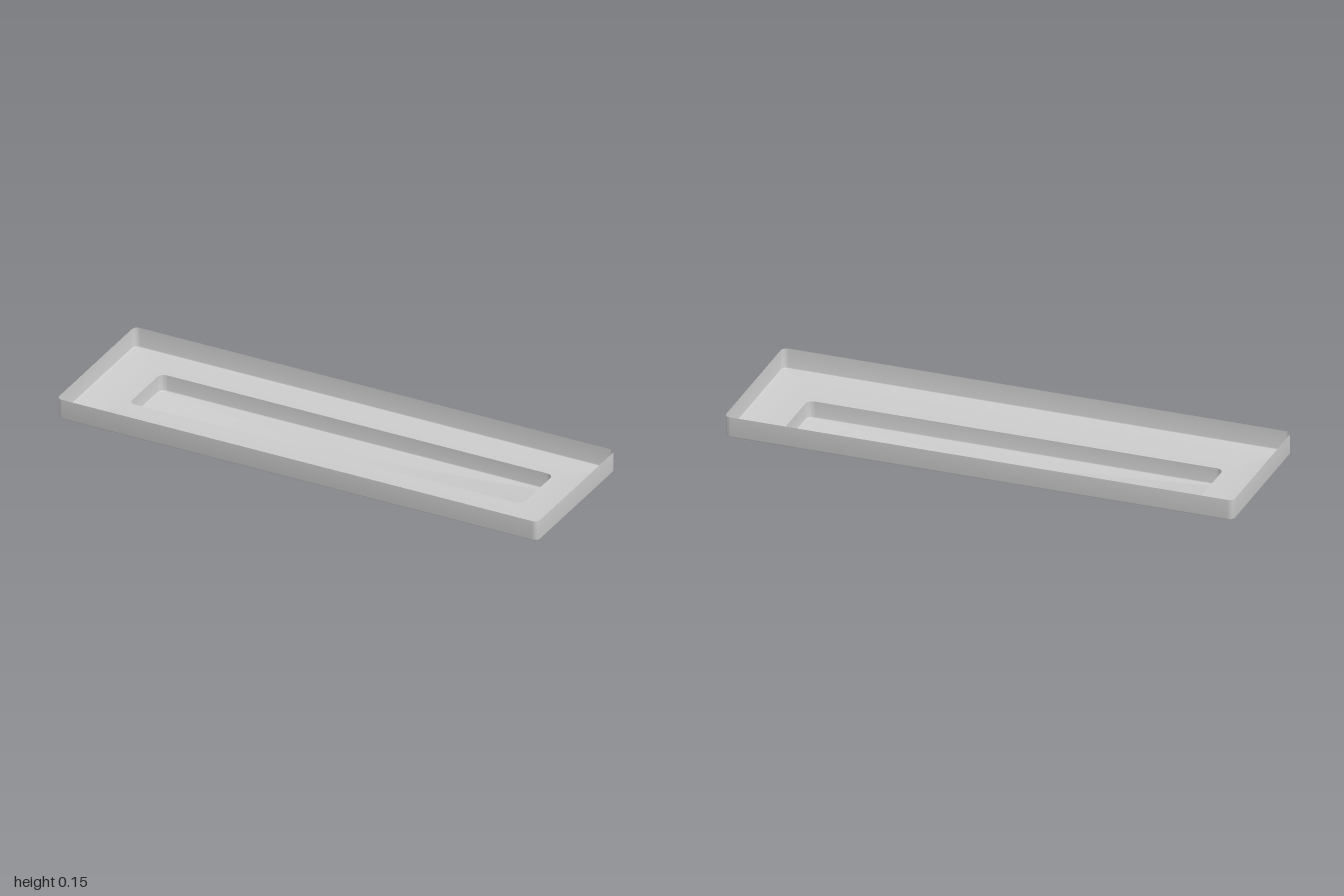
import * as THREE from 'three';
import { toCreasedNormals } from 'three/addons/utils/BufferGeometryUtils.js';

const CORNER_STEPS = 8;

// Rounded rectangle at height y, counter-clockwise seen from above
function ring({ hx, hz, r, cz = 0 }, y, inset = 0) {
  const w = hx - r, d = hz - r, radius = r - inset, points = [];
  [[1, 1], [-1, 1], [-1, -1], [1, -1]].forEach(([sx, sz], corner) => {
    for (let i = 0; i <= CORNER_STEPS; i++) {
      const a = (corner + i / CORNER_STEPS) * Math.PI / 2;
      points.push(new THREE.Vector3(sx * w + radius * Math.cos(a), y, cz - sz * d - radius * Math.sin(a)));
    }
  });
  return points;
}

// Quarter-round from a wall down onto a floor at height y
function bottomFillet(outline, y, f) {
  return [0, 1, 2, 3, 4].map(i => {
    const a = i / 4 * Math.PI / 2;
    return ring(outline, y + f * (1 - Math.sin(a)), f * (1 - Math.cos(a)));
  });
}

// Skin joining successive rings, optionally closed in the middle of the last one
function loft(name, rings, material, closed = false) {
  const positions = [], index = [], n = rings[0].length;
  rings.flat().forEach(p => positions.push(p.x, p.y, p.z));
  for (let k = 0; k < rings.length - 1; k++) {
    for (let j = 0; j < n; j++) {
      const a = k * n + j, b = k * n + (j + 1) % n;
      index.push(a, b, a + n, b, b + n, a + n);
    }
  }
  if (closed) {
    const last = rings.at(-1), start = (rings.length - 1) * n, centre = rings.length * n;
    positions.push(0, last[0].y, (last[0].z + last[n - 1].z) / 2);
    for (let j = 0; j < n; j++) index.push(start + j, start + (j + 1) % n, centre);
  }
  const geometry = new THREE.BufferGeometry();
  geometry.setAttribute('position', new THREE.Float32BufferAttribute(positions, 3));
  geometry.setIndex(index);
  const mesh = new THREE.Mesh(toCreasedNormals(geometry, Math.PI / 6), material);
  mesh.name = name;
  return mesh;
}

export function createModel() {
  const group = new THREE.Group();
  group.name = 'recessedTray';
  const material = new THREE.MeshStandardMaterial({ color: 0xcccccc, side: THREE.DoubleSide });

  const tray = { hx: 1, hz: 0.307, r: 0.022 };
  const recess = { hx: 0.817, hz: 0.125, r: 0.028, cz: -0.042 };
  const rimY = 0.149, floorY = 0.067;

  // Upright rim and the floor around the recess
  group.add(loft('trayRimAndFloor', [
    ring(tray, rimY), ...bottomFillet(tray, floorY, 0.005), ring(recess, floorY),
  ], material));

  // Long trough sunk below the floor
  group.add(loft('recess', [
    ring(recess, floorY), ...bottomFillet(recess, 0, 0.004),
  ], material, true));

  return group;
}
